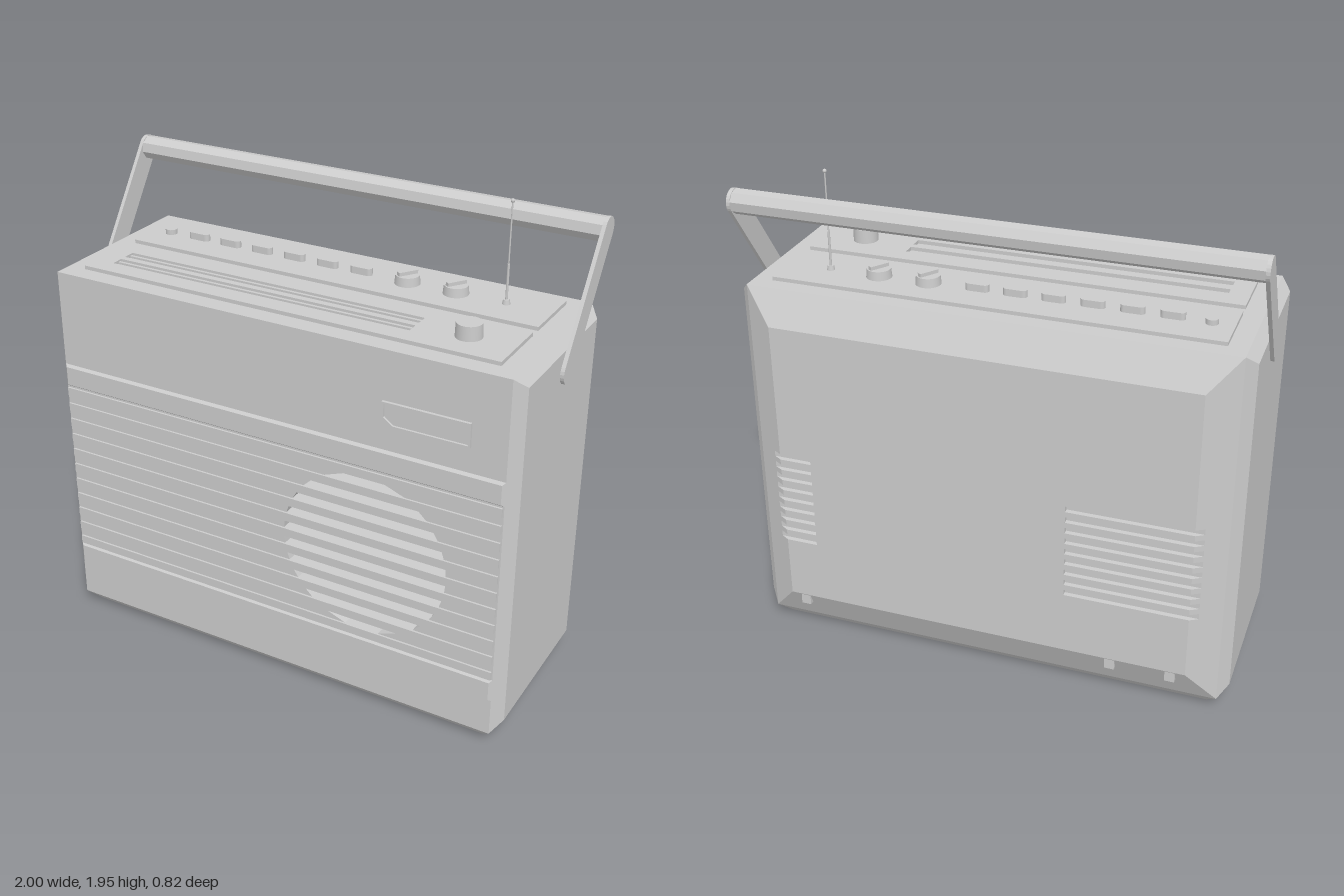
import * as THREE from 'three';

const material = new THREE.MeshStandardMaterial({ color: 0xcccccc, side: THREE.DoubleSide });

function add(parent, name, geometry, x = 0, y = 0, z = 0) {
  const mesh = new THREE.Mesh(geometry, material);
  mesh.name = name;
  mesh.position.set(x, y, z);
  parent.add(mesh);
  return mesh;
}

// Eight-point rectangle, so that it pairs with the chamfered ring below
const rect = (x0, x1, y0, y1) => [[x0, y0], [x1, y0], [x1, y0], [x1, y1], [x1, y1], [x0, y1], [x0, y1], [x0, y0]];
const chamfered = [[-0.9, 0], [0.9, 0], [0.985, 0.1], [0.985, 1.49], [0.945, 1.53], [-0.945, 1.53], [-0.985, 1.49], [-0.985, 0.1]];

// Flat-faced skin through rings [z, points], ordered front to back
function loft(rings) {
  const pos = [];
  const put = (...pts) => pts.forEach(([z, p]) => pos.push(p[0], p[1], z));
  const n = rings[0][1].length;
  for (let r = 0; r < rings.length - 1; r++) {
    const [za, a] = rings[r], [zb, b] = rings[r + 1];
    for (let i = 0; i < n; i++) {
      const j = (i + 1) % n;
      put([za, a[i]], [zb, b[i]], [za, a[j]], [za, a[j]], [zb, b[i]], [zb, b[j]]);
    }
  }
  const [zf, f] = rings[0], [ze, e] = rings[rings.length - 1];
  for (let i = 1; i < n - 1; i++) {
    put([zf, f[0]], [zf, f[i]], [zf, f[i + 1]]);
    put([ze, e[0]], [ze, e[i + 1]], [ze, e[i]]);
  }
  const g = new THREE.BufferGeometry();
  g.setAttribute('position', new THREE.Float32BufferAttribute(pos, 3));
  g.computeVertexNormals();
  return g;
}

const polygon = (pts, Type = THREE.Shape) => new Type(pts.map(([x, y]) => new THREE.Vector2(x, y)));
const box4 = (x0, x1, y0, y1) => [[x0, y0], [x1, y0], [x1, y1], [x0, y1]];
const extrude = (shape, depth, curveSegments = 8) =>
  new THREE.ExtrudeGeometry(shape, { depth, bevelEnabled: false, curveSegments });

function stadium(ax, ay, bx, by, r) {
  const a = Math.atan2(by - ay, bx - ax);
  const s = new THREE.Shape();
  s.absarc(bx, by, r, a - Math.PI / 2, a + Math.PI / 2);
  s.absarc(ax, ay, r, a + Math.PI / 2, a + Math.PI * 1.5);
  s.closePath();
  return s;
}

function buildCase(group) {
  // Shell with an open front, a cavity floor and a tapered back
  add(group, 'caseShell', loft([
    [0.3, rect(-0.93, 0.93, 0.07, 1.51)],
    [0.4, rect(-0.945, 0.945, 0.05, 1.53)],
    [0.355, chamfered],
    [-0.29, chamfered],
    [-0.335, rect(-0.945, 0.945, 0.05, 1.53)],
    [-0.385, rect(-0.863, 0.863, 0.15, 1.437)],
  ]));

  // Back cover, with slots left open between its rows
  const cover = (x0, x1, y0, y1, ya, yb, name) => add(group, name, loft([
    [-0.385, rect(x0 * 1.04, x1 * 1.04, y0, y1)], [-0.405, rect(x0, x1, ya, yb)]]));
  const pitch = 0.047, gap = 0.024, slots = 9, start = 0.45;
  const end = start + pitch * (slots - 1) + gap;
  cover(-0.83, 0.83, 0.15, start, 0.19, start, 'backCoverLower');
  cover(-0.83, 0.83, end, 1.437, end, 1.4, 'backCoverUpper');
  for (let i = 0; i < slots; i++) {
    const y = start + i * pitch;
    add(group, 'ventRow', new THREE.BoxGeometry(1.04, gap, 0.02), 0.18, y + gap / 2, -0.395);
    if (i < slots - 1) cover(-0.83, 0.83, y + gap, y + pitch, y + gap, y + pitch, 'ventSlat');
  }
  for (const x of [0.77, -0.53, -0.77])
    add(group, 'backClip', new THREE.BoxGeometry(0.04, 0.045, 0.03), x, 0.165, -0.388);
}

function buildFront(group) {
  // Front panel pierced by a round field of speaker slots
  const panel = polygon(box4(-0.945, 0.945, 0.05, 1.53));
  const cx = 0.4, cy = 0.67, r = 0.34, pitch = 0.07, h = 0.035;
  const half = y => Math.sqrt(r * r - (y - cy) ** 2);
  for (let i = 0; i < 10; i++) {
    const y0 = cy + pitch * (i - 4.5) - h / 2, y1 = y0 + h;
    panel.holes.push(polygon([[cx - half(y0), y0], [cx + half(y0), y0], [cx + half(y1), y1], [cx - half(y1), y1]], THREE.Path));
  }
  add(group, 'frontPanel', extrude(panel, 0.05), 0, 0, 0.35);
  for (let i = -5; i <= 5; i++)
    add(group, 'grilleSlat', new THREE.BoxGeometry(1.88, h, 0.008), 0, cy + pitch * i, 0.404);

  // Trim bands above and below the grille
  for (const y of [0.205, 1.045])
    add(group, 'trimBand', loft([
      [0.41, rect(-0.935, 0.935, y + 0.008, y + 0.085)],
      [0.4, rect(-0.945, 0.945, y, y + 0.095)]]));

  // Cut-corner plate with a raised rim
  const outer = [[0.51, 1.24], [0.81, 1.24], [0.81, 1.335], [0.47, 1.335], [0.47, 1.27]];
  const inner = [[0.514, 1.248], [0.802, 1.248], [0.802, 1.327], [0.478, 1.327], [0.478, 1.275]];
  const rim = polygon(outer);
  rim.holes.push(polygon(inner, THREE.Path));
  add(group, 'plateRim', extrude(rim, 0.012), 0, 0, 0.4);
  add(group, 'plate', extrude(polygon(inner), 0.003), 0, 0, 0.4);
}

function buildTop(group) {
  // Raised deck plates; shape y runs towards the back
  const deck = (name, z0, z1, holes = []) => {
    const s = polygon(box4(-0.87, 0.87, -z1, -z0));
    holes.forEach(([a, b]) => s.holes.push(polygon(box4(-0.79, 0.49, -b, -a), THREE.Path)));
    add(group, name, extrude(s, 0.015), 0, 1.53, 0).rotation.x = -Math.PI / 2;
  };
  deck('controlDeck', -0.27, 0);
  deck('dialDeck', 0.05, 0.325, [[0.125, 0.175], [0.2, 0.25]]);
  for (const z of [0.137, 0.212])
    add(group, 'dialStrip', new THREE.BoxGeometry(1.28, 0.008, 0.012), -0.15, 1.534, z);

  const z = -0.135;
  add(group, 'tuningKnob', new THREE.CylinderGeometry(0.048, 0.05, 0.06, 24), 0.69, 1.57, 0.19);
  add(group, 'powerButton', new THREE.CylinderGeometry(0.024, 0.024, 0.025, 16), -0.785, 1.553, z);
  for (let i = 0; i < 6; i++) {
    const key = add(group, 'pushKey', extrude(stadium(-0.03, 0, 0.03, 0, 0.016), 0.035), -0.645 + i * 0.148, 1.538, z);
    key.rotation.x = -Math.PI / 2;
  }
  for (const x of [0.29, 0.49]) {
    add(group, 'rotaryKnob', new THREE.CylinderGeometry(0.046, 0.05, 0.04, 24), x, 1.56, z);
    add(group, 'knobGrip', new THREE.BoxGeometry(0.018, 0.018, 0.08), x, 1.585, z).rotation.y = -0.6;
  }

  // Telescopic aerial
  add(group, 'aerialBase', new THREE.CylinderGeometry(0.012, 0.016, 0.02, 12), 0.69, 1.553, z);
  add(group, 'aerialLower', new THREE.CylinderGeometry(0.005, 0.005, 0.16, 8), 0.69, 1.62, z);
  add(group, 'aerialUpper', new THREE.CylinderGeometry(0.003, 0.003, 0.24, 8), 0.69, 1.815, z);
  add(group, 'aerialTip', new THREE.SphereGeometry(0.008, 10, 8), 0.69, 1.937, z);
}

function buildHandle(group) {
  // Arms swing from the pivot at the sides towards the back
  const pivot = [-0.015, 1.41], top = [0.285, 1.838];
  const arm = extrude(stadium(...pivot, ...top, 0.048), 0.015, 6);
  arm.rotateY(Math.PI / 2);
  add(group, 'handleArm', arm, 0.985);
  add(group, 'handleArm', arm, -1);
  const bar = new THREE.CylinderGeometry(0.048, 0.048, 1.97, 8).toNonIndexed();
  bar.computeVertexNormals();
  bar.rotateZ(Math.PI / 2);
  bar.rotateX(Math.PI / 8 + 0.6);
  add(group, 'handleBar', bar, 0, top[1], -top[0]);
}

export function createModel() {
  const model = new THREE.Group();
  model.name = 'portableRadio';
  const parts = { case: buildCase, front: buildFront, top: buildTop, handle: buildHandle };
  for (const [name, build] of Object.entries(parts)) {
    const group = new THREE.Group();
    group.name = name;
    build(group);
    model.add(group);
  }
  return model;
}
